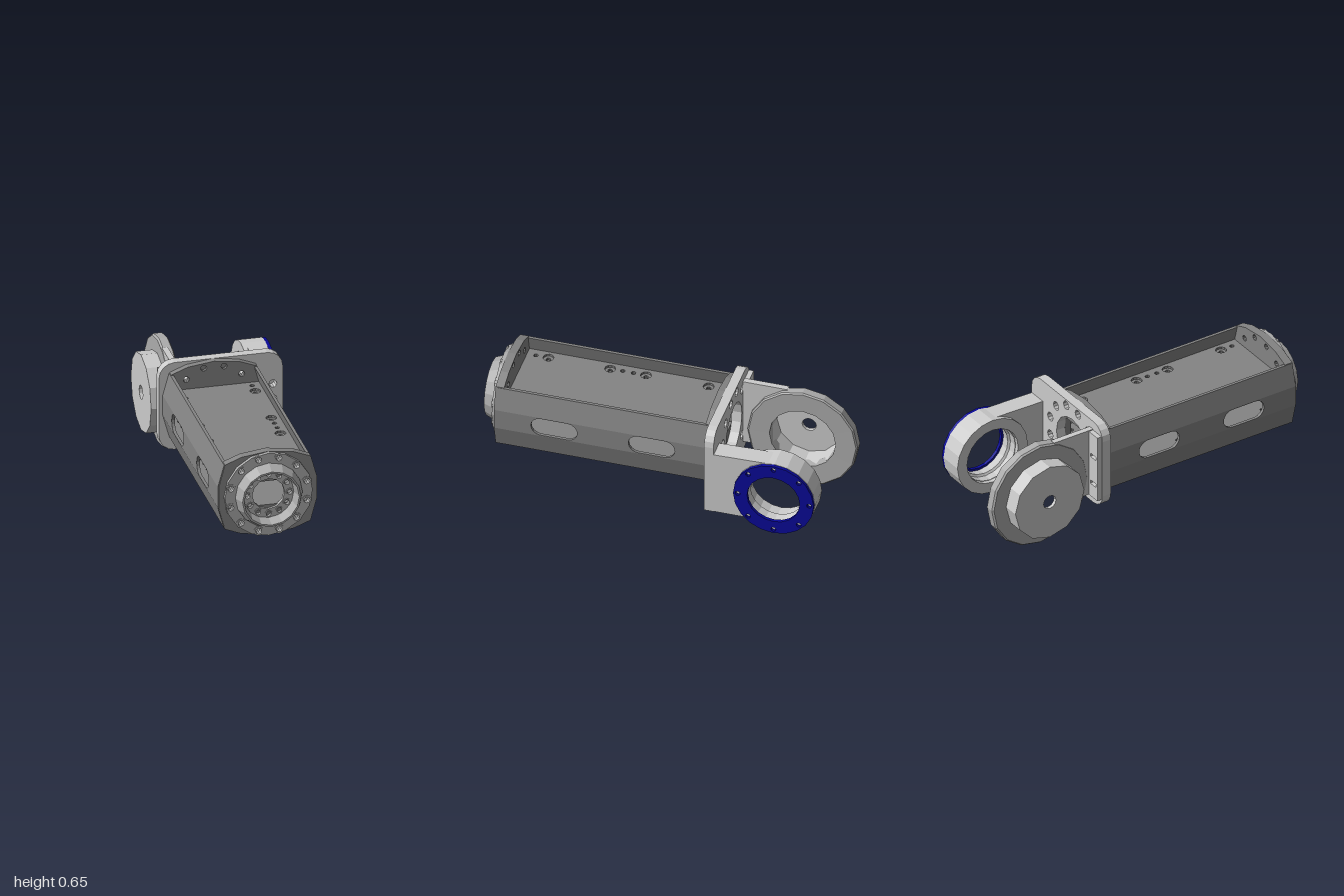
import * as THREE from 'three';

const paint = (color) => new THREE.MeshStandardMaterial({ color, flatShading: true, side: THREE.DoubleSide });
const light = paint(0xbebebe);     // fork
const middle = paint(0xacacac);    // front flange and disc
const dark = paint(0x848484);      // body
const blue = paint(0x080896);
const CX = -0.055, CY = 0.41;      // body axis
const PU = 0.69, PY = 0.31;        // pivot: distance behind the origin, and height
const TAU = Math.PI * 2;

// points of an arc or a full circle
const arc = (r, x, y, n, a0 = 0, a1 = TAU) => {
  const full = Math.abs(a1 - a0 - TAU) < 1e-6;
  return Array.from({ length: full ? n : n + 1 }, (_, i) => {
    const a = a0 + (a1 - a0) * i / n;
    return new THREE.Vector2(x + r * Math.cos(a), y + r * Math.sin(a));
  });
};
const poly = (pts) => pts.map(([x, y]) => new THREE.Vector2(x, y));
const rect = (w, h, x = 0, y = 0) =>
  poly([[x - w / 2, y - h / 2], [x + w / 2, y - h / 2], [x + w / 2, y + h / 2], [x - w / 2, y + h / 2]]);
const hole = (r, x = 0, y = 0, n = 10) => new THREE.Path(arc(r, x, y, n));

function extrude(points, holes, depth) {
  const shape = new THREE.Shape(points);
  shape.holes.push(...holes);
  return new THREE.ExtrudeGeometry(shape, { depth, bevelEnabled: false });
}
// profile drawn in (-z, y), thickness running along x
const sidePlate = (points, holes, x0, x1) =>
  extrude(points, holes, x1 - x0).rotateY(Math.PI / 2).translate(x0, 0, 0);
// closed ring profile [radius, height]
const ringSolid = (profile, n) => new THREE.LatheGeometry(poly([...profile, profile[0]]), n);

function add(parent, name, geometry, material) {
  const mesh = new THREE.Mesh(geometry, material);
  mesh.name = name;
  parent.add(mesh);
  return mesh;
}

// twelve positions around the body axis
const boltCircle = (r, offset) => Array.from({ length: 12 }, (_, i) => {
  const a = offset + i * TAU / 12;
  return [r * Math.cos(a), r * Math.sin(a)];
});
const outerBolts = boltCircle(0.217, Math.PI / 12);
const innerBolts = boltCircle(0.117, 0);
const boltHoles = (spots, r) => spots.map(([x, y]) => hole(r, x, y));

function createBody() {
  const body = new THREE.Group();
  body.name = 'body';
  body.position.set(CX, CY, 0);
  const z0 = -0.295, z1 = 0.905;

  // side walls: flat slotted middle with leaning upper and lower strips
  const slot = (z) => new THREE.Path([
    ...arc(0.055, -z + 0.075, 0, 8, -Math.PI / 2, Math.PI / 2),
    ...arc(0.055, -z - 0.075, 0, 8, Math.PI / 2, Math.PI * 1.5)]);
  for (const s of [-1, 1]) {
    const x = s > 0 ? [0.258, 0.275] : [-0.275, -0.258];
    add(body, 'slottedWall', sidePlate(rect(z1 - z0, 0.12, -(z0 + z1) / 2, 0),
      [slot(0.575), slot(0.03)], x[0], x[1]), dark);
    for (const t of [-1, 1]) {
      const strip = poly([[0.275, 0.06], [0.24, 0.187], [0.223, 0.187], [0.258, 0.06]]
        .map(([a, b]) => [a * s, b * t]));
      add(body, 'wallStrip', extrude(strip, [], z1 - z0).translate(0, 0, z0), dark);
    }
  }

  // upper and lower floors with counterbored screw holes
  const rows = [[-0.22, 0], [-0.15, 1], [0.2, 1], [0.27, 0], [0.33, 0], [0.4, 1], [0.745, 1], [0.815, 0]];
  const outline = rect(0.51, z1 - z0, 0, (z0 + z1) / 2);
  const floor = (bore) => extrude(outline,
    rows.flatMap(([z, big]) => [-0.2, 0.2].map((x) => hole(big ? bore : 0.013, x, z))), 0.014)
    .rotateX(Math.PI / 2).translate(0, 0.007, 0);
  for (const s of [-1, 1]) {
    add(body, 'floorOuter', floor(0.03), dark).position.y = s * 0.09;
    add(body, 'floorInner', floor(0.013), dark).position.y = s * 0.077;
  }

  // end plates; at the rear only the side holes run right through
  const endOutline = poly([[0.271, -0.06], [0.271, 0.06], [0.237, 0.19], [0.145, 0.226], [0, 0.245], [-0.145, 0.226],
    [-0.237, 0.19], [-0.271, 0.06], [-0.271, -0.06], [-0.237, -0.19], [-0.145, -0.226], [0, -0.245],
    [0.145, -0.226], [0.237, -0.19]]);
  const endPlate = (name, bolts, z, depth) => add(body, name, extrude(endOutline,
    [new THREE.Path(rect(0.29, 0.139)), ...boltHoles(bolts, 0.017)], depth).translate(0, 0, z), dark);
  endPlate('frontEndPlate', outerBolts, 0.865, 0.047);
  endPlate('rearEndPlate', outerBolts, -0.281, 0.02);
  endPlate('rearEndBacking', outerBolts.filter(([, y]) => Math.abs(y) < 0.2), -0.297, 0.016);
  return body;
}

function createFrontFlange() {
  const flange = new THREE.Group();
  flange.name = 'frontFlange';
  flange.position.set(CX, CY, 0);
  add(flange, 'boltRing', extrude(arc(0.243, 0, 0, 16),
    [hole(0.142, 0, 0, 16), ...boltHoles(outerBolts, 0.017)], 0.022).translate(0, 0, 0.911), middle);
  add(flange, 'collar', ringSolid(
    [[0.14, 0.92], [0.186, 0.92], [0.184, 0.945], [0.162, 1.0], [0.152, 1.0], [0.14, 0.94]], 16)
    .rotateX(Math.PI / 2), middle);
  add(flange, 'innerPlate', extrude(arc(0.15, 0, 0, 16),
    [hole(0.09, 0, 0, 12), ...boltHoles(innerBolts, 0.014)], 0.022).translate(0, 0, 0.905), middle);
  // raised rims around the bolt holes
  const rim = (name, r, bore, z, h, spots) => spots.forEach(([x, y]) =>
    add(flange, name, ringSolid([[bore, 0], [r, 0], [r, h], [bore, h]], 10)
      .rotateX(Math.PI / 2).translate(x, y, z), middle));
  rim('outerBoltRim', 0.027, 0.017, 0.928, 0.009, outerBolts);
  rim('innerBoltRim', 0.021, 0.014, 0.924, 0.009, innerBolts);
  return flange;
}

function createFork() {
  const fork = new THREE.Group();
  fork.name = 'fork';
  const H = Math.PI / 2;

  // mounting plate, rounded except at the foot of the ring arm
  const outline = [
    ...arc(0.085, -0.265, 0.226, 4, 2 * H, 3 * H),
    ...poly([[0.335, 0.141]]),
    ...arc(0.085, 0.25, 0.57, 4, 0, H),
    ...arc(0.085, -0.265, 0.57, 4, H, 2 * H)];
  const holes = [hole(0.15, CX, CY, 16),
    ...outerBolts.map(([x, y]) => hole(0.026, CX + x, CY + y)),
    ...[0.2, 0.29, 0.38, 0.468].map((y) => hole(0.022, 0.28, y))];
  add(fork, 'mountingPlate', extrude(outline, holes, 0.053).translate(0, 0, -0.35), light);

  // ring arm on the left
  add(fork, 'ringArm', sidePlate([
    ...poly([[0.345, 0.141], [0.5, 0.141]]),
    ...arc(0.222, PU, PY, 12, -2.3, H),
    ...poly([[0.345, 0.525]])], [hole(0.162, PU, PY, 20)], 0.226, 0.333), light);
  const onPivot = (g) => g.rotateZ(H).translate(0, PY, -PU);
  add(fork, 'armRing', onPivot(ringSolid(
    [[0.16, -0.336], [0.227, -0.336], [0.227, -0.202], [0.165, -0.202], [0.165, -0.27], [0.15, -0.28]], 20)), light);
  const screws = boltHoles(arc(0.2, PU, PY, 8).map((p) => [p.x, p.y]), 0.014);
  add(fork, 'colouredRing', sidePlate(arc(0.225, PU, PY, 20),
    [hole(0.147, PU, PY, 20), ...screws], 0.336, 0.355), blue);

  // disc arm on the right, with a thin slotted foot
  add(fork, 'discArm', sidePlate([
    ...poly([[0.345, 0.2], [0.46, 0.2]]),
    ...arc(0.19, PU, PY, 3, Math.PI * 1.02, Math.PI * 0.9),
    ...poly([[0.6, 0.605], [0.345, 0.605]])], [], -0.258, -0.225), light);
  add(fork, 'discArmFoot', extrude(rect(0.115, 0.4, -0.283, 0.4),
    [0.29, 0.46].map((y) => new THREE.Path(rect(0.055, 0.022, -0.3, y))), 0.028).translate(0, 0, -0.377), light);

  // cupped disc and hub
  add(fork, 'disc', onPivot(ringSolid(
    [[0.185, 0.2], [0.3, 0.198], [0.308, 0.205], [0.308, 0.25], [0.3, 0.26], [0.185, 0.26]], 16)), middle);
  add(fork, 'hub', onPivot(ringSolid(
    [[0.04, 0.33], [0.18, 0.33], [0.19, 0.22], [0.222, 0.25], [0.222, 0.35], [0.04, 0.35]], 12)), light);
  return fork;
}

export function createModel() {
  const model = new THREE.Group();
  model.name = 'robotArmLink';
  model.add(createBody(), createFrontFlange(), createFork());
  return model;
}
